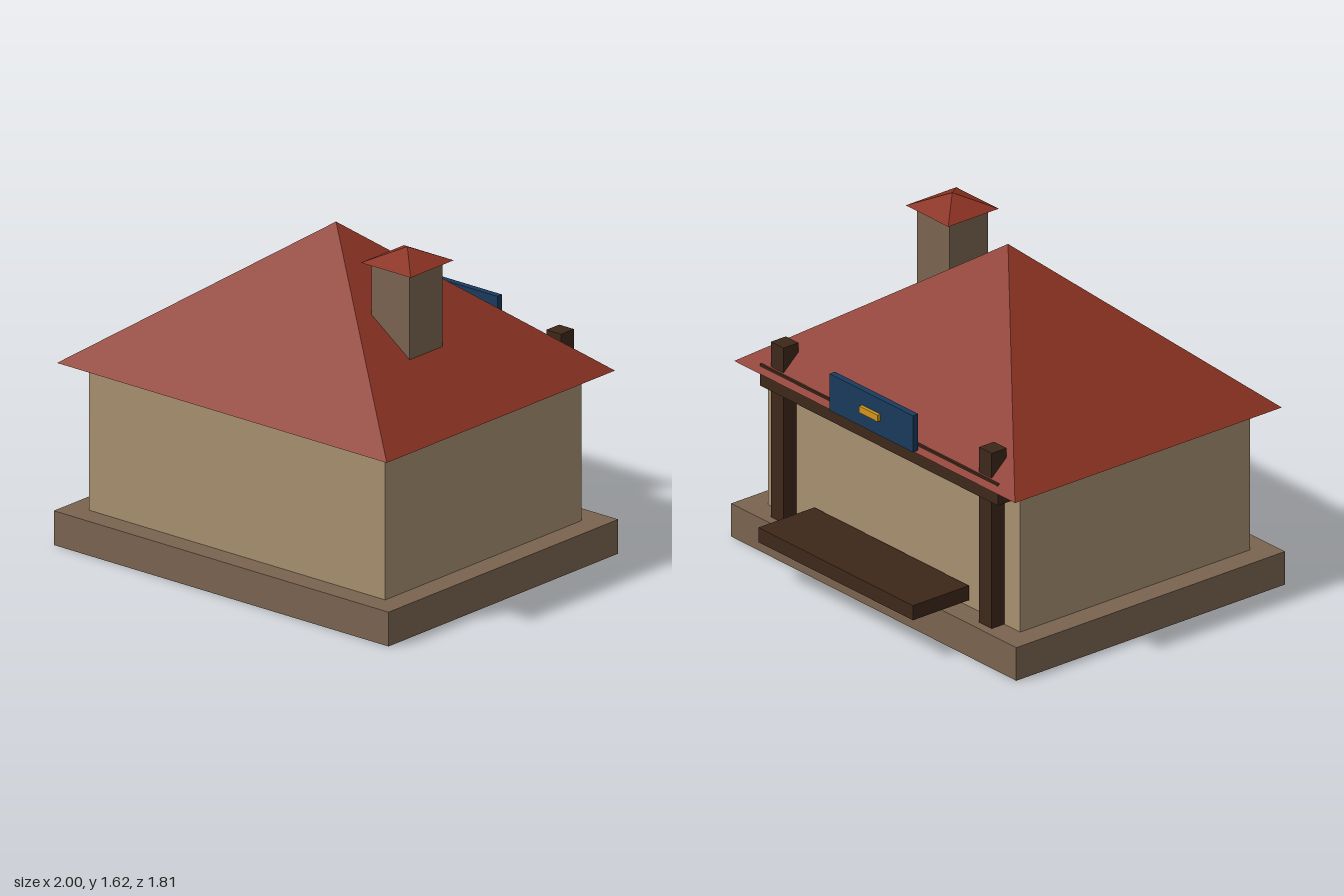
import * as THREE from 'three';

export function createModel() {
  const house = new THREE.Group();
  house.name = 'house';

  const mat = (color) => new THREE.MeshStandardMaterial({ color, flatShading: true });
  const stone = mat(0x7a6450);
  const plaster = mat(0xa89070);
  const tile = mat(0x8b3222);
  const wood = mat(0x3d2819);
  const blue = mat(0x1a3a5c);
  const gold = mat(0xd4951a);

  const add = (name, geometry, material) => {
    const mesh = new THREE.Mesh(geometry, material);
    mesh.name = name;
    house.add(mesh);
    return mesh;
  };

  // Box given by its extents on each axis
  const box = (name, material, [x0, x1], [y0, y1], [z0, z1]) => {
    const mesh = add(name, new THREE.BoxGeometry(x1 - x0, y1 - y0, z1 - z0), material);
    mesh.position.set((x0 + x1) / 2, (y0 + y1) / 2, (z0 + z1) / 2);
  };

  // Four-sided pyramid standing on a rectangle
  const pyramid = (name, material, [x0, x1], [y0, y1], [z0, z1]) => {
    const geometry = new THREE.ConeGeometry(Math.SQRT1_2, 1, 4);
    geometry.rotateY(Math.PI / 4);
    geometry.scale(x1 - x0, y1 - y0, z1 - z0);
    const mesh = add(name, geometry, material);
    mesh.position.set((x0 + x1) / 2, (y0 + y1) / 2, (z0 + z1) / 2);
  };

  // Main building
  box('foundation', stone, [-1, 1], [0, 0.165], [-0.68, 0.905]);
  box('walls', plaster, [-0.885, 0.885], [0.165, 0.885], [-0.56, 0.795]);
  pyramid('roof', tile, [-0.985, 0.985], [0.88, 1.58], [-0.675, 0.9]);

  // Chimney with its small hipped cap
  box('chimney', stone, [0.405, 0.632], [1.0, 1.55], [0.107, 0.334]);
  pyramid('chimneyCap', tile, [0.37, 0.668], [1.545, 1.617], [0.071, 0.369]);

  // Shop front: posts, beam and counter
  for (const side of [-1, 1]) {
    const x = side * 0.73;
    box(side > 0 ? 'leftPost' : 'rightPost', wood,
      [x - 0.044, x + 0.044], [0.165, 1.04], [-0.635, -0.547]);
  }
  box('beam', wood, [-0.835, 0.835], [0.805, 0.912], [-0.65, -0.54]);
  box('counter', wood, [-0.542, 0.542], [0.205, 0.278], [-0.905, -0.575]);

  // Sign board with a small plate
  box('signBoard', blue, [-0.292, 0.292], [0.89, 1.072], [-0.695, -0.663]);
  box('signPlate', gold, [-0.065, 0.065], [0.965, 0.998], [-0.712, -0.69]);

  return house;
}
